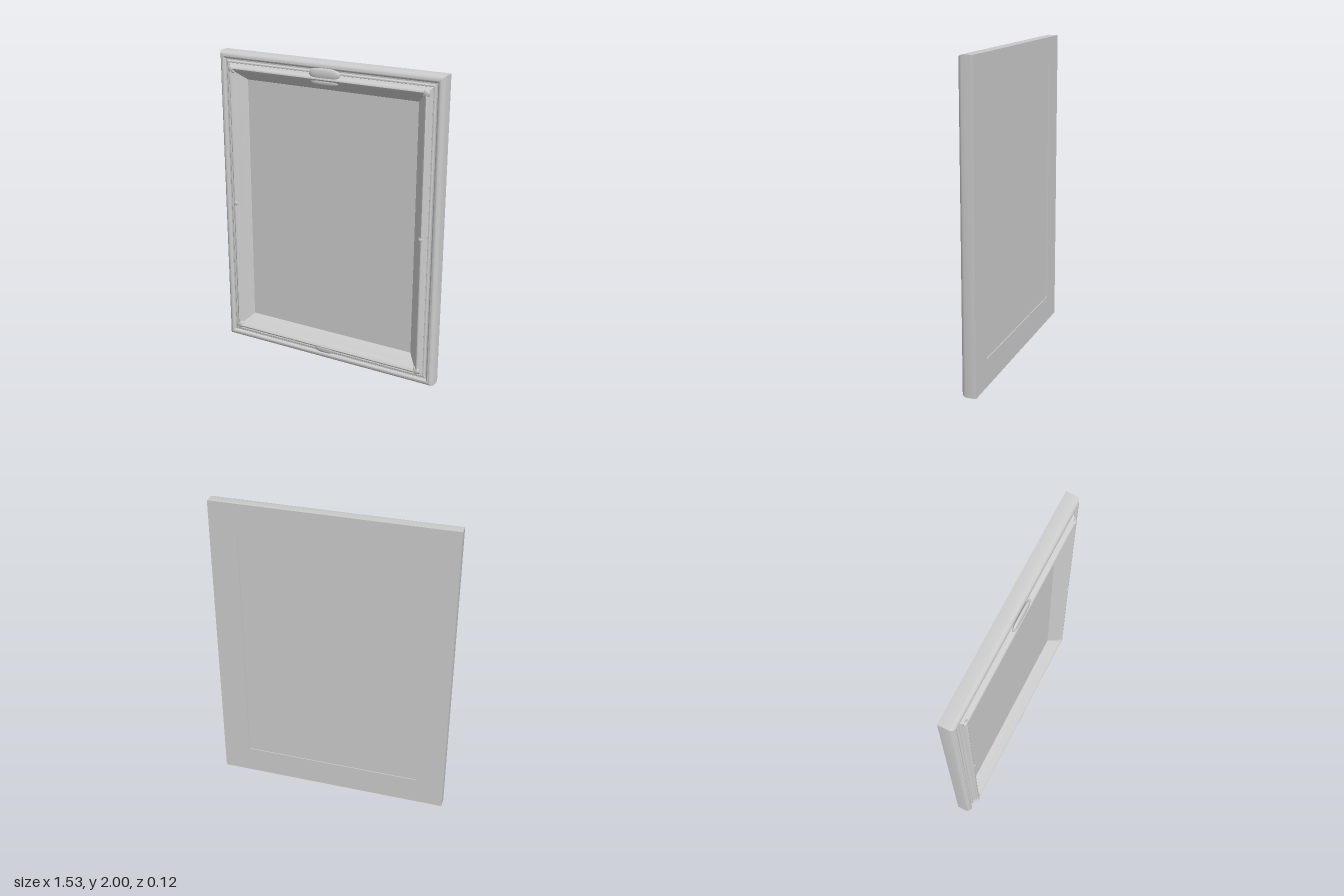
import * as THREE from 'three';
import { toCreasedNormals } from 'three/addons/utils/BufferGeometryUtils.js';

const W = 0.767, H = 1; // half width and half height

// Sweeps a closed [inset, z] profile round the rectangle with mitred corners
function mitredFrame(profile) {
  const pos = [];
  const signs = [[-1, -1], [1, -1], [1, 1], [-1, 1]];
  const at = ([inset, z], [sx, sy]) => [sx * (W - inset), sy * (H - inset), z];
  for (let s = 0; s < 4; s++) {
    const c0 = signs[s], c1 = signs[(s + 1) % 4];
    profile.forEach((p, i) => {
      const q = profile[(i + 1) % profile.length];
      const a = at(p, c0), b = at(p, c1), c = at(q, c1), d = at(q, c0);
      pos.push(...a, ...b, ...c, ...a, ...c, ...d);
    });
  }
  const g = new THREE.BufferGeometry();
  g.setAttribute('position', new THREE.Float32BufferAttribute(pos, 3));
  return toCreasedNormals(g, 0.6);
}

export function createModel() {
  const model = new THREE.Group();
  model.name = 'pictureFrame';
  const grey = new THREE.MeshStandardMaterial({ name: 'frame grey', color: 0xcccccc });

  const add = (name, geometry, x = 0, y = 0, z = 0) => {
    const mesh = new THREE.Mesh(geometry, grey);
    mesh.name = name;
    mesh.position.set(x, y, z);
    model.add(mesh);
    return mesh;
  };

  // Moulding: rounded outer edge, groove, small step, raised bead, inner slope
  const profile = [
    [0, -0.06], [0, 0.008], [0.004, 0.018], [0.012, 0.027], [0.022, 0.033],
    [0.031, 0.034], [0.038, 0.03], [0.045, 0.02], [0.053, 0.02],
    [0.06, 0.028], [0.068, 0.028], [0.07, 0.024], [0.083, 0.036],
    [0.086, 0.048], [0.093, 0.056], [0.1, 0.059], [0.106, 0.056],
    [0.116, 0.044], [0.14, 0.018], [0.162, -0.006], [0.18, -0.028],
    [0.18, -0.06],
  ];
  add('moulding', mitredFrame(profile), 0, H, 0);

  // Backing panel, set slightly into the back
  add('backingPanel', new THREE.BoxGeometry(2 * (W - 0.178), 2 * (H - 0.178), 0.03), 0, H, -0.039);

  // Flattened oval ornaments with blunt ends
  const oval = (name, y, z, rx, ry, rz) => {
    const g = new THREE.SphereGeometry(1, 32, 16);
    const p = g.attributes.position;
    for (let i = 0; i < p.count; i++) {
      const x = p.getX(i);
      p.setX(i, Math.sign(x) * Math.pow(Math.abs(x), 0.55));
    }
    g.scale(rx, ry, rz);
    g.computeVertexNormals();
    add(name, g, 0, y, z);
  };
  oval('topOrnament', 1.933, 0.043, 0.105, 0.035, 0.014);
  oval('topOrnamentLip', 1.883, 0.038, 0.097, 0.022, 0.016);
  oval('bottomOrnament', 0.084, 0.044, 0.073, 0.029, 0.014);

  // Corner bosses and small studs halfway up the sides
  for (const side of [-1, 1]) {
    for (const up of [-1, 1]) {
      const boss = add('cornerBoss', new THREE.SphereGeometry(0.023, 16, 10), side * 0.665, H + up * 0.896, 0.049);
      boss.scale.z = 0.5;
      const leaf = add('cornerLeaf', new THREE.SphereGeometry(0.014, 16, 10), side * 0.655, H + up * 0.884, 0.046);
      leaf.scale.z = 0.8;
    }
    const stud = add('sideStud', new THREE.SphereGeometry(0.015, 16, 10), side * 0.663, H, 0.054);
    stud.scale.z = 0.5;
  }
  return model;
}
